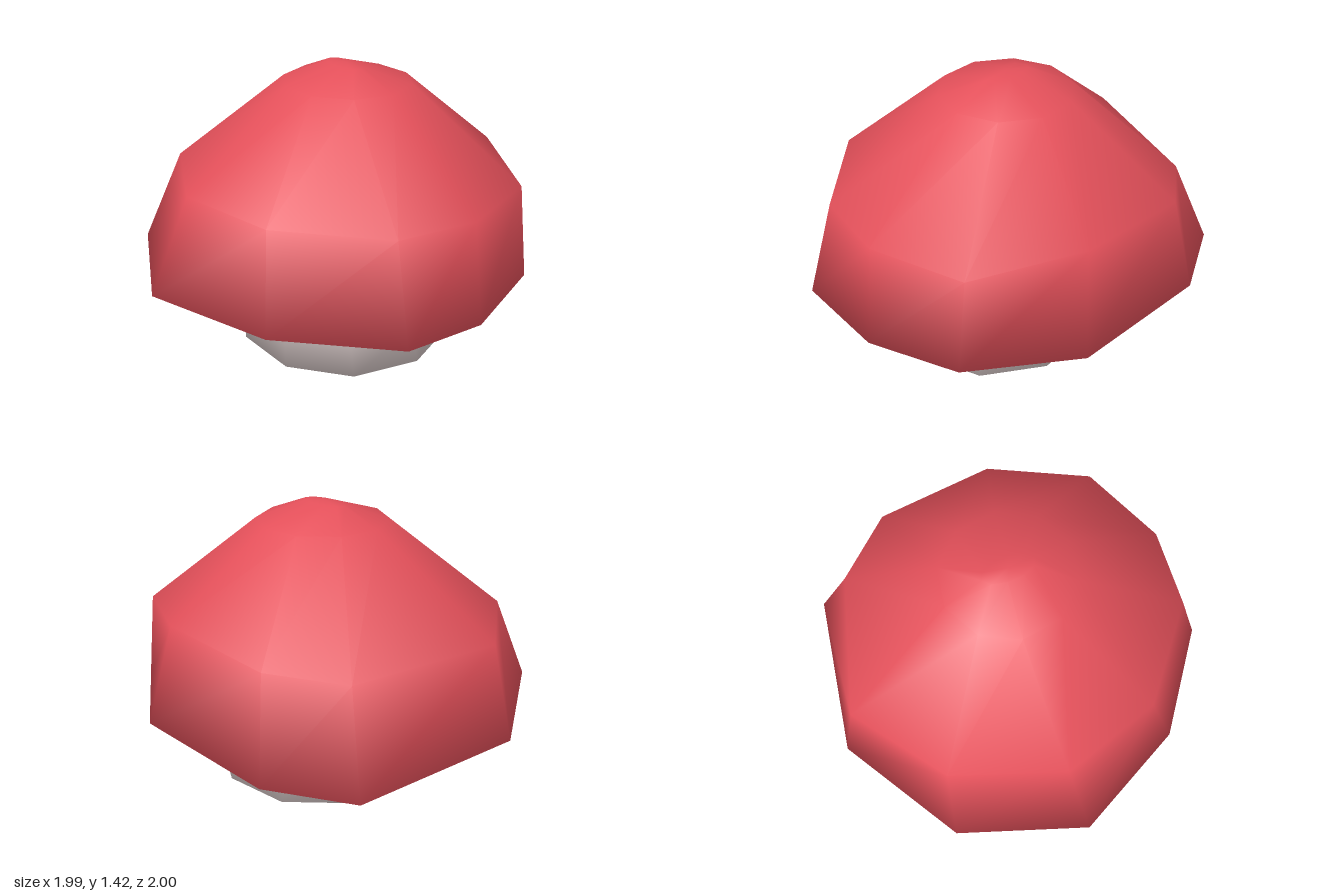
import * as THREE from 'three';
import { mergeVertices } from 'three/addons/utils/BufferGeometryUtils.js';

const SIDES = 10;

// Rim corners of the cap [x, y, z], going round from the left side to the front
const RIM = [
  [0.99, 0.43, 0.31], [0.67, 0.41, 0.79], [0.22, 0.37, 0.97], [-0.23, 0.41, 1.0], [-0.72, 0.43, 0.61],
  [-1.0, 0.44, 0.01], [-0.76, 0.43, -0.63], [-0.12, 0.42, -1.0], [0.73, 0.4, -0.85], [0.95, 0.4, -0.46],
];

// Uneven shoulder corners of the cap, one above each rim corner
const SHOULDER = [
  [0.88, 0.93, 0.23], [0.65, 0.88, 0.73], [0.2, 0.88, 0.905], [-0.2, 0.88, 0.86], [-0.63, 0.89, 0.48],
  [-0.77, 0.885, -0.03], [-0.56, 0.88, -0.57], [-0.1, 0.88, -0.89], [0.61, 0.85, -0.68], [0.85, 0.89, -0.38],
];

// Regular ring of points, turned to line up with the rim
const ring = (cx, y, cz, rx, rz) => Array.from({ length: SIDES }, (_, j) => {
  const a = THREE.MathUtils.degToRad(11 + j * 360 / SIDES);
  return [cx + rx * Math.cos(a), y, cz + rz * Math.sin(a)];
});

// Smooth normals in which each face counts by its corner angle
function smoothNormals(geometry) {
  const position = geometry.attributes.position;
  const index = geometry.index;
  const normals = Array.from({ length: position.count }, () => new THREE.Vector3());
  const triangle = new THREE.Triangle();
  const face = new THREE.Vector3();
  for (let i = 0; i < index.count; i += 3) {
    const ids = [0, 1, 2].map((k) => index.getX(i + k));
    triangle.setFromAttributeAndIndices(position, ...ids);
    if (triangle.getArea() < 1e-7) continue;
    triangle.getNormal(face);
    const corners = [triangle.a, triangle.b, triangle.c];
    corners.forEach((p, k) => {
      const u = corners[(k + 1) % 3].clone().sub(p);
      const v = corners[(k + 2) % 3].clone().sub(p);
      normals[ids[k]].addScaledVector(face, u.angleTo(v));
    });
  }
  const flat = normals.flatMap((n) => n.normalize().toArray());
  geometry.setAttribute('normal', new THREE.Float32BufferAttribute(flat, 3));
  return geometry;
}

// Smooth skin through rings ordered from the underside to the top
function loft(rings) {
  const index = [];
  for (let i = 0; i < rings.length - 1; i++) {
    for (let j = 0; j < SIDES; j++) {
      const a = i * SIDES + j;
      const b = i * SIDES + (j + 1) % SIDES;
      index.push(a, a + SIDES, b, b, a + SIDES, b + SIDES);
    }
  }
  const geometry = new THREE.BufferGeometry();
  geometry.setAttribute('position', new THREE.Float32BufferAttribute(rings.flat(2), 3));
  geometry.setIndex(index);
  return smoothNormals(mergeVertices(geometry));
}

export function createModel() {
  const capRed = new THREE.MeshStandardMaterial({ color: 0xe4505a });
  capRed.name = 'capRed';
  const stemGrey = new THREE.MeshStandardMaterial({ color: 0xd2c4c3 });
  stemGrey.name = 'stemGrey';

  // Where the red underside lip meets the pale gills
  const gillEdge = RIM.map(([x, y, z]) => [x * 0.82, y + 0.02, z * 0.82]);

  // Cap: lip, rim, shoulder, crown and a small flat top
  const cap = new THREE.Mesh(loft([
    gillEdge,
    RIM,
    SHOULDER,
    ring(0.1, 1.33, 0.025, 0.325, 0.33),
    ring(0.09, 1.41, 0.02, 0.06, 0.13),
    ring(0.09, 1.42, 0.02, 0, 0),
  ]), capRed);
  cap.name = 'cap';

  // Stem: closed foot, narrow waist, flaring out into the gills
  const stem = new THREE.Mesh(loft([
    ring(0.06, 0, 0.08, 0, 0),
    ring(0.06, 0.005, 0.08, 0.565, 0.56),
    ring(0.04, 0.19, 0.065, 0.54, 0.55),
    ring(0.045, 0.34, 0.03, 0.625, 0.635),
    gillEdge,
  ]), stemGrey);
  stem.name = 'stem';

  const mushroom = new THREE.Group();
  mushroom.name = 'mushroom';
  mushroom.add(cap, stem);
  return mushroom;
}
